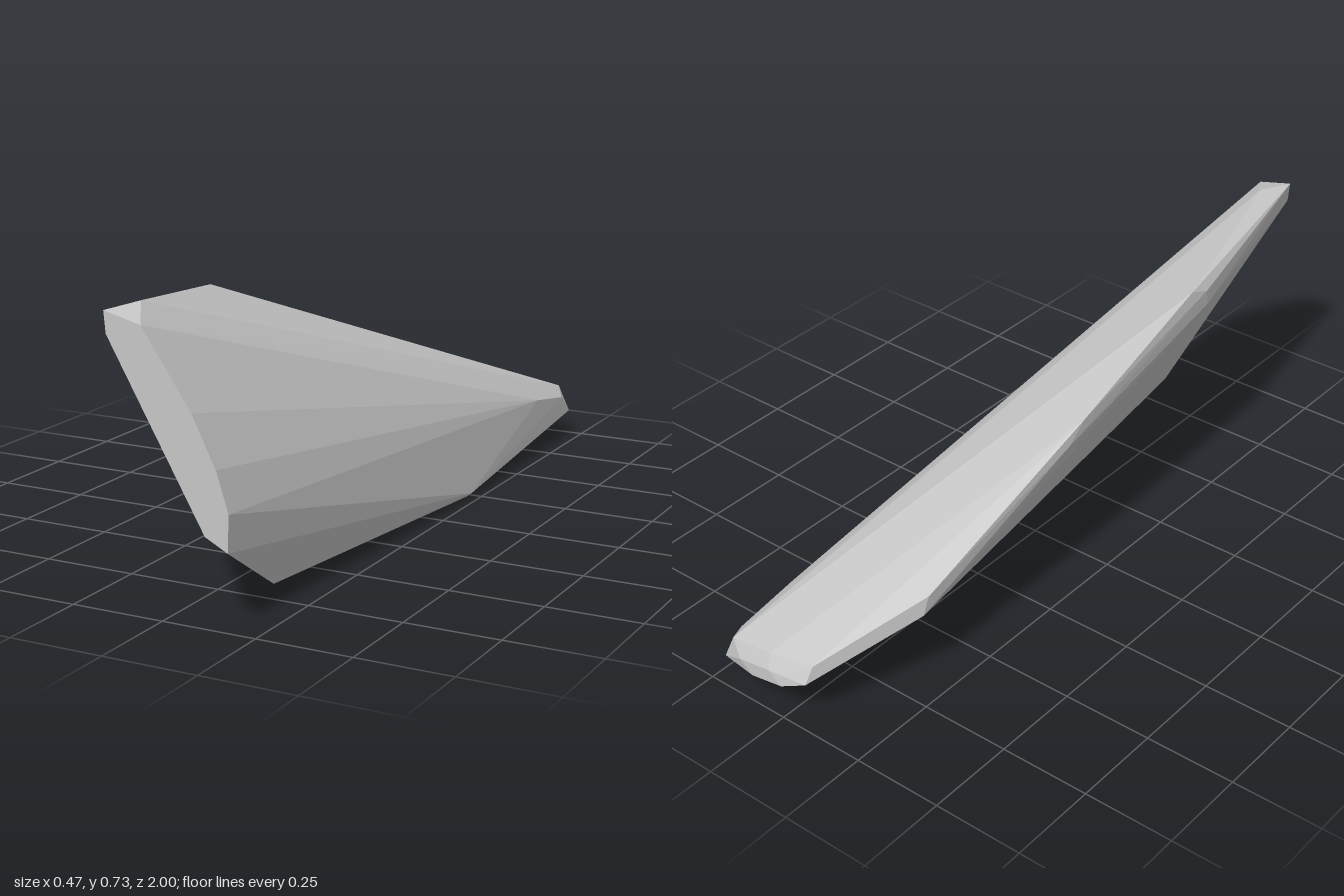
import * as THREE from 'three';
import { ConvexGeometry } from 'three/addons/geometries/ConvexGeometry.js';

// A faceted stone shard: the convex skin around a few groups of corner points.
const frontFace = [
  [-0.14, 0.725, 1], [-0.04, 0.7, 1], [0.09, 0.51, 1], [0.152, 0.385, 1],
  [0.184, 0.285, 1], [0.18, 0.192, 1], [0.12, 0.223, 1], [-0.135, 0.67, 1],
];
const upperRidge = [
  [-0.103, 0.733, 0.9], [-0.228, 0.67, 0.39], [-0.234, 0.65, 0.45], [-0.232, 0.605, 0.46],
  [-0.233, 0.51, -0.09], [-0.233, 0.46, -0.15], [-0.2, 0.275, -0.67], [-0.198, 0.225, -0.69],
];
const underside = [
  [0.09, 0.1, 0.74], [0.15, 0.035, 0.74],
  [0.185, 0, -0.12], [0.222, 0.006, -0.21], [0.233, 0.015, -0.22],
];
const backTip = [
  [0.214, 0.163, -0.73], [0.214, 0.13, -0.92], [-0.075, 0.175, -0.96], [-0.07, 0.13, -0.985],
  [0.05, 0.168, -0.98], [0.18, 0.15, -0.98], [0.215, 0.075, -0.98],
  [0, 0.1, -1], [0.1, 0.083, -1], [0.14, 0.115, -1], [0.04, 0.13, -1],
];

export function createModel() {
  const group = new THREE.Group();
  group.name = 'stoneShard';

  const stone = new THREE.MeshStandardMaterial({ color: 0xc6c6c6 });
  stone.name = 'light grey stone';

  const points = [...frontFace, ...upperRidge, ...underside, ...backTip]
    .map((p) => new THREE.Vector3(...p));
  const shard = new THREE.Mesh(new ConvexGeometry(points), stone);
  shard.name = 'shard';
  group.add(shard);
  return group;
}
